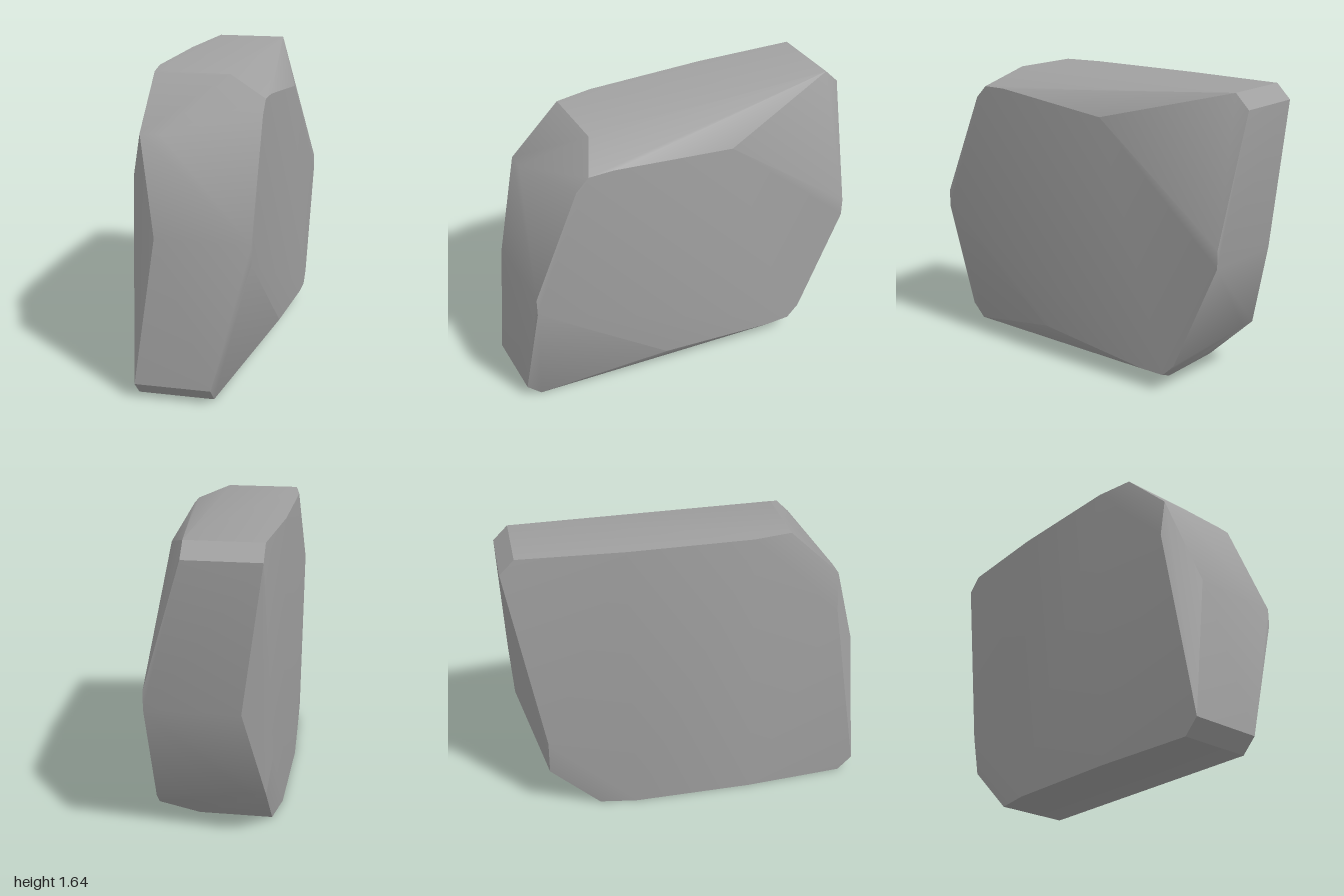
import * as THREE from 'three';
import { ConvexGeometry } from 'three/addons/geometries/ConvexGeometry.js';
import { toCreasedNormals } from 'three/addons/utils/BufferGeometryUtils.js';

const HEIGHT = 1.64;

// Half of the slab's corners [x, y, z]; the rest follow by a half turn about the x axis.
const corners = [
  // flat right face
  [0.32, 0.77, 0.97], [0.32, 0.87, 0.97], [0.32, 1.47, 0.71],
  [0.32, 1.54, 0.64], [0.32, 1.54, 0.5], [0.32, 1.46, -0.2],
  // top ridge and its back bevel
  [0.115, 1.64, 0.54], [0.115, 1.64, -0.92], [0.115, 1.56, -1],
  [-0.29, 1.64, 0.54], [-0.29, 1.64, -0.92], [-0.29, 1.56, -1],
  // front brow and the chipped front left edge
  [-0.29, 1.37, 0.82], [-0.19, 1.37, 0.82],
  [-0.18, 0.87, 0.97], [-0.18, 0.77, 0.97],
  // slightly raised left face
  [-0.325, 1.15, 0.82], [-0.325, 1.64, 0.33], [-0.325, 1.64, -0.35],
];

export function createModel() {
  const stone = new THREE.MeshStandardMaterial({ color: 0xa0a0a0 });
  stone.name = 'stone grey';

  const points = corners.flatMap(([x, y, z]) => [
    new THREE.Vector3(x, y, z),
    new THREE.Vector3(x, HEIGHT - y, -z),
  ]);

  // Soft shading over shallow facets, sharp at the main edges
  const geometry = toCreasedNormals(new ConvexGeometry(points), THREE.MathUtils.degToRad(30));
  const slab = new THREE.Mesh(geometry, stone);
  slab.name = 'stoneSlab';

  const group = new THREE.Group();
  group.name = 'rock';
  group.add(slab);
  return group;
}
